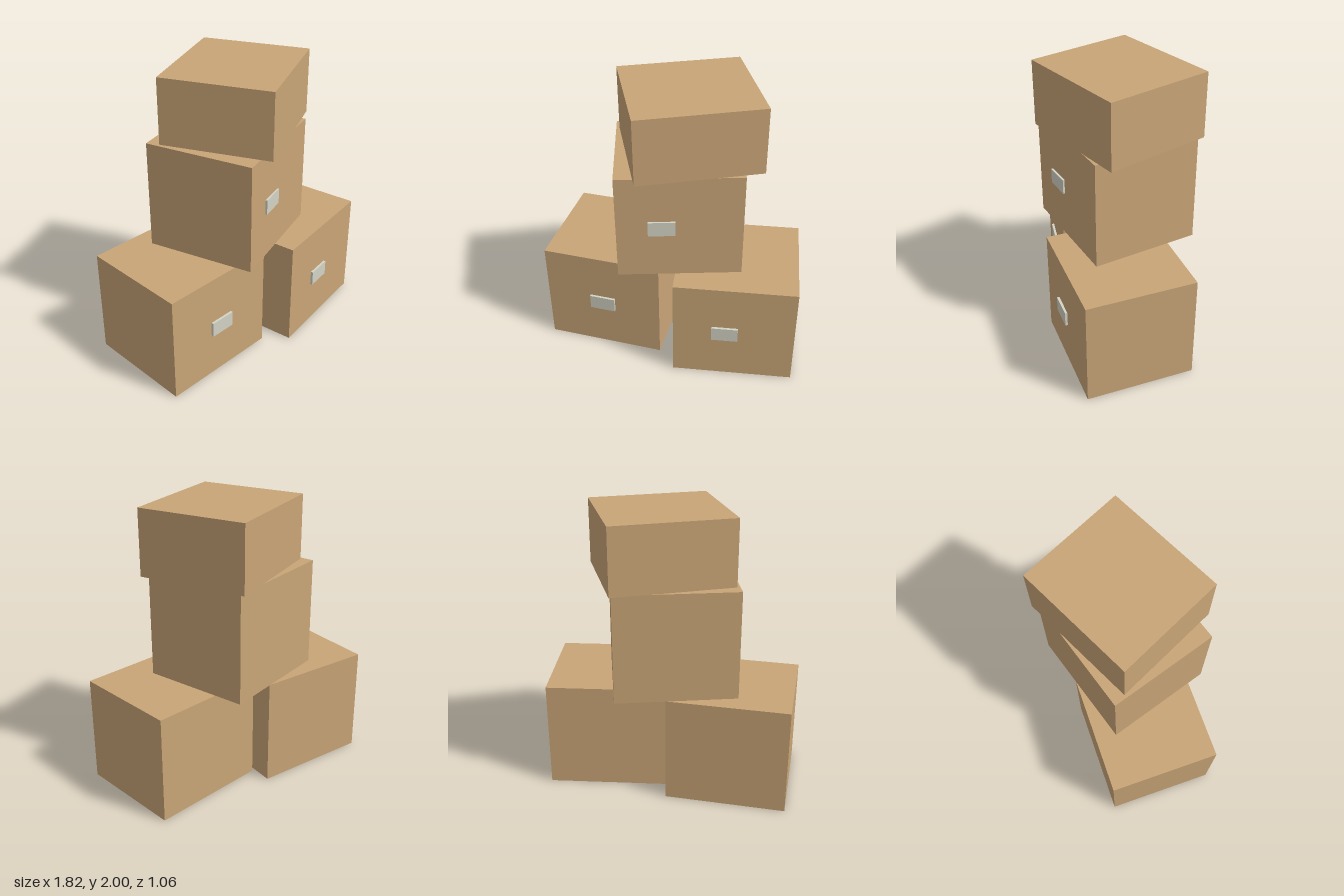
import * as THREE from 'three';

const cardboard = new THREE.MeshStandardMaterial({ name: 'cardboard', color: 0xc9a577 });
const labelGrey = new THREE.MeshStandardMaterial({ name: 'labelGrey', color: 0xd3d3c5 });

// name, centre x, base y, centre z, height, turn about y, label centre z (if any)
const BOXES = [
  ['lowerRightBox', -0.49, 0, -0.003, 0.77, 0, 0.396],
  ['lowerLeftBox', 0.435, 0, 0.077, 0.77, 0.153, 0.477],
  ['middleBox', -0.028, 0.77, 0, 0.77, 0.3, 0.406],
  ['topBox', 0.049, 1.54, -0.002, 0.46, 0.449, null],
];

function addBlock(group, name, size, position, turn, material) {
  const mesh = new THREE.Mesh(new THREE.BoxGeometry(...size), material);
  mesh.name = name;
  mesh.position.set(...position);
  mesh.rotation.y = turn;
  group.add(mesh);
}

export function createModel() {
  const model = new THREE.Group();
  model.name = 'boxStack';
  for (const [name, x, y, z, height, turn, labelZ] of BOXES) {
    const midY = y + height / 2;
    addBlock(model, name, [0.846, height, 0.767], [x, midY, z], turn, cardboard);
    // Blank label plate on the front, turned with its box
    if (labelZ !== null) {
      addBlock(model, name + 'Label', [0.184, 0.108, 0.017], [x, midY, labelZ], turn, labelGrey);
    }
  }
  return model;
}
